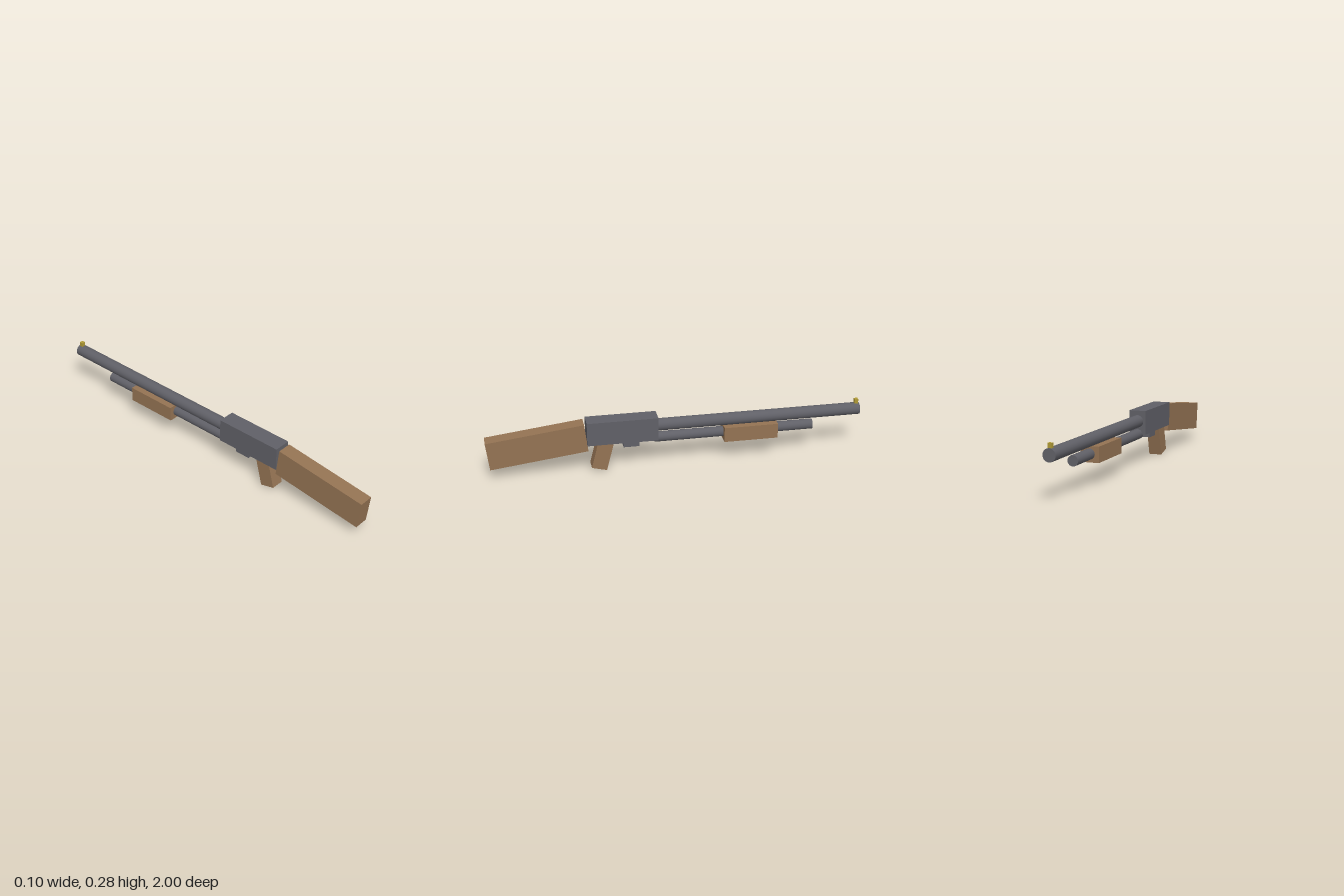
import * as THREE from 'three';

export function createModel() {
  const model = new THREE.Group();
  const steel = new THREE.MeshStandardMaterial({ color: 0x606067 });
  steel.name = 'gunmetal';
  const wood = new THREE.MeshStandardMaterial({ color: 0x947353 });
  wood.name = 'wood';
  const brass = new THREE.MeshStandardMaterial({ color: 0xb09a35 });
  brass.name = 'brass';

  function add(name, geometry, material, y, z, tilt = 0) {
    const mesh = new THREE.Mesh(geometry, material);
    mesh.name = name;
    mesh.position.set(0, y, z);
    mesh.rotation.x = tilt;
    model.add(mesh);
  }
  const box = (w, h, d) => new THREE.BoxGeometry(w, h, d);
  // Round bar lying along z
  const bar = (r, length) => new THREE.CylinderGeometry(r, r, length, 20).rotateX(Math.PI / 2);

  // Receiver and trigger block
  add('receiver', box(0.092, 0.128, 0.375), steel, 0.221, 0.2885);
  add('triggerBlock', box(0.066, 0.04, 0.085), steel, 0.147, 0.2425);

  // Barrel, magazine tube and front sight
  add('barrel', bar(0.033, 1.12), steel, 0.228, -0.44);
  add('magazineTube', bar(0.0275, 0.857), steel, 0.158, -0.3125);
  add('frontSight', box(0.02, 0.028, 0.02), brass, 0.27, -0.984);

  // Wooden furniture
  add('foreEnd', box(0.099, 0.081, 0.29), wood, 0.156, -0.397);
  add('stock', box(0.078, 0.153, 0.515), wood, 0.17, 0.735, 0.12);
  add('grip', box(0.07, 0.18, 0.082), wood, 0.1, 0.393, -0.25);

  return model;
}
